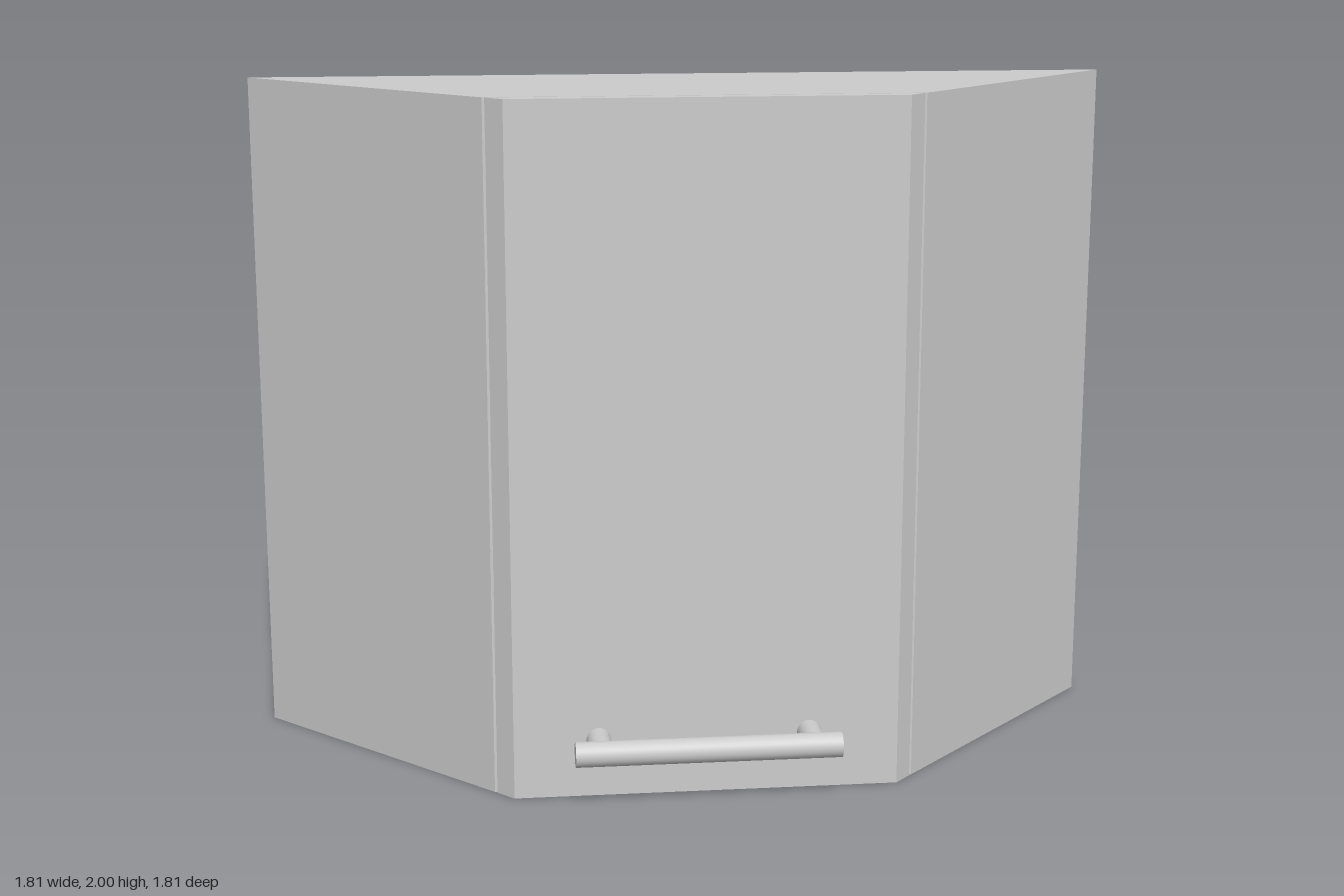
import * as THREE from 'three';

const material = new THREE.MeshStandardMaterial({ color: 0xcccccc });

// Upright prism standing on y = 0, from a footprint of [x, z] corners
function prism(name, footprint, height) {
  const shape = new THREE.Shape(footprint.map(([x, z]) => new THREE.Vector2(x, -z)));
  const geometry = new THREE.ExtrudeGeometry(shape, { depth: height, bevelEnabled: false });
  geometry.rotateX(-Math.PI / 2);
  const mesh = new THREE.Mesh(geometry, material);
  mesh.name = name;
  return mesh;
}

// Round rod between two points
function rod(name, from, to, radius) {
  const geometry = new THREE.CylinderGeometry(radius, radius, from.distanceTo(to), 32);
  const mesh = new THREE.Mesh(geometry, material);
  mesh.position.addVectors(from, to).multiplyScalar(0.5);
  mesh.quaternion.setFromUnitVectors(new THREE.Vector3(0, 1, 0), to.clone().sub(from).normalize());
  mesh.name = name;
  return mesh;
}

export function createModel() {
  const model = new THREE.Group();
  model.name = 'cornerWallCabinet';
  const H = 2, E = 0.907;

  // Trapezoid carcass with a diagonal back
  model.add(prism('cabinetBody', [[-E, E], [0.043, E], [E, 0.043], [E, -E]], H));

  // Diagonal door, parted from the body by a narrow gap
  model.add(prism('door', [[0.053, E], [0.12, E], [E, 0.12], [E, 0.053]], H));

  // Bar handle low on the door, on two posts
  const handle = new THREE.Group();
  handle.name = 'handle';
  const y = 0.17, r = 0.036;
  handle.add(rod('handleBar', new THREE.Vector3(0.318, y, 0.865), new THREE.Vector3(0.855, y, 0.328), r));
  for (const [x, z] of [[0.292, 0.735], [0.723, 0.304]]) {
    const base = new THREE.Vector3(x, y, z);
    const tip = new THREE.Vector3(x + 0.078, y, z + 0.078);
    handle.add(rod('handlePost', base, tip, r * 0.97));
  }
  model.add(handle);
  return model;
}
